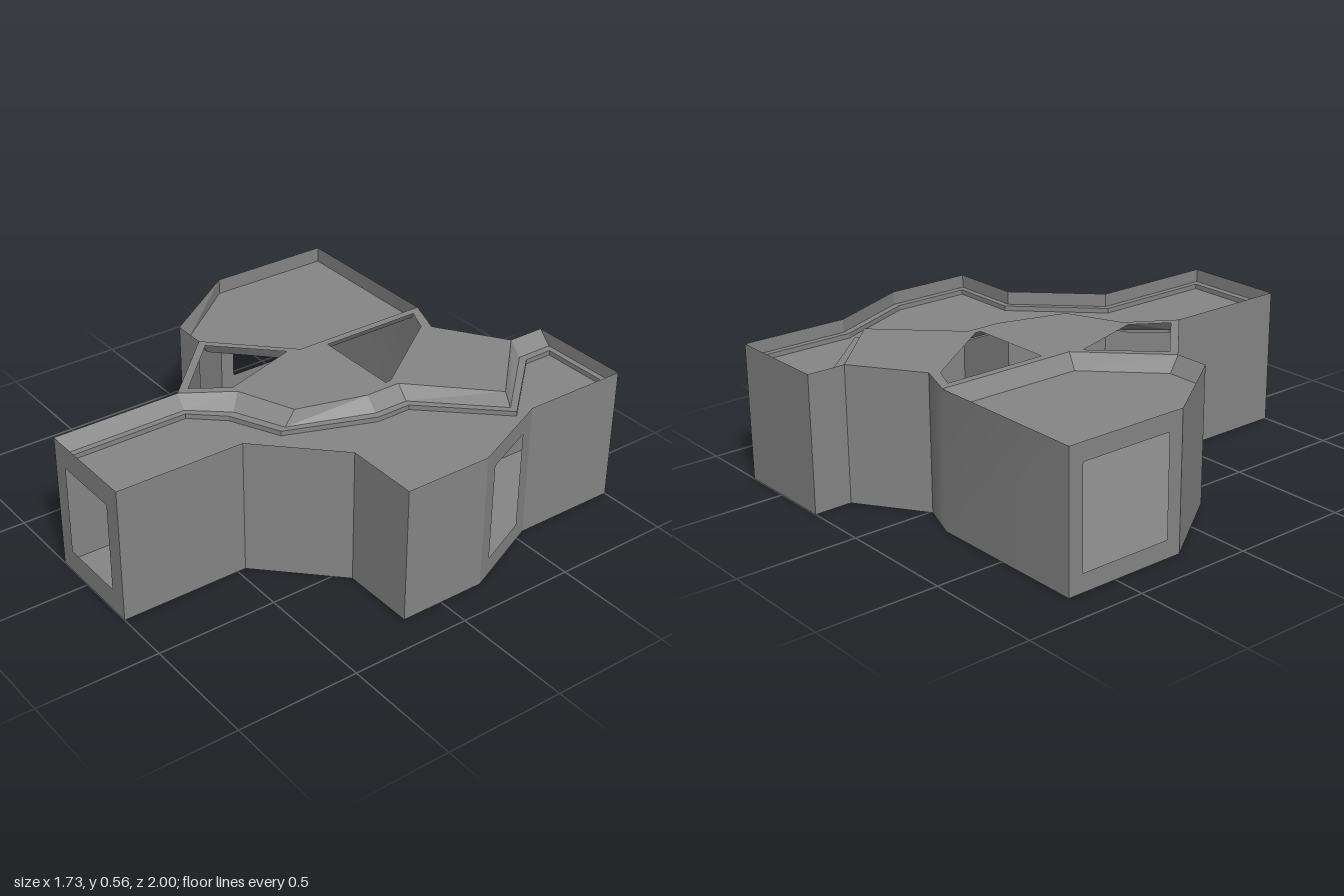
import * as THREE from 'three';

const TOP = 0.565, LEDGE = 0.51, DECK = 0.49, SIDE_ROOF = 0.5;

const material = new THREE.MeshStandardMaterial({ color: 0x868686, side: THREE.DoubleSide });

// All plan points are [x, z].
const ridge = [ // upper edge between the middle roof and the right deck
  [0.265, -1], [0.265, -0.84], [0.555, -0.55], [0.265, -0.26],
  [0.265, -0.11], [0.185, 0.175], [-0.05, 0.272], [-0.173, 0.465], [-0.173, 1],
];
const ridgeFoot = [
  [0.32, -1], [0.32, -0.84], [0.588, -0.55], [0.315, -0.26],
  [0.315, -0.11], [0.195, 0.225], [-0.008, 0.32], [-0.13, 0.465], [-0.13, 1],
];
const rightOuter = [
  [0.265, 1], [0.265, 0.465], [0.555, 0.175], [0.865, 0.175],
  [0.865, -0.19], [0.705, -0.55], [0.705, -1],
];
const deckInner = [
  [0.35, -0.975], [0.35, -0.85], [0.625, -0.55], [0.345, -0.25], [0.345, -0.1],
  [0.21, 0.255], [0.006, 0.352], [-0.105, 0.475], [-0.105, 0.97], [0.24, 0.97],
  [0.24, 0.455], [0.545, 0.15], [0.838, 0.15], [0.838, -0.18], [0.68, -0.54], [0.68, -0.975],
];
const leftRim = [ // upper edge between the middle roof and the left roof
  [-0.173, -0.715], [-0.173, -0.115], [-0.465, 0.175], [-0.61, 0.175], [-0.865, -0.19],
];
const leftFoot = [
  [-0.21, -0.715], [-0.21, -0.12], [-0.468, 0.133], [-0.61, 0.133], [-0.865, -0.19],
];
const backBend = [ // back wall with a softly shaded bend
  [-0.865, -0.715], [-0.173, -0.715], [-0.01, -0.655],
];
const sides = [ // remaining outer walls, from the back bend round to the left corner
  [-0.865, -0.715], [-0.865, -0.19], [-0.61, 0.175], [-0.465, 0.175], [-0.173, 0.465],
  [-0.173, 1], ...rightOuter, [0.265, -1], [0.265, -0.84], [-0.01, -0.655],
];

const vectors = (points) => points.map(([x, z]) => new THREE.Vector2(x, -z));

function addMesh(group, name, geometry) {
  const mesh = new THREE.Mesh(geometry, material);
  mesh.name = name;
  group.add(mesh);
}

// Horizontal sheet at a height, with optional openings.
function sheet(points, y, holes = []) {
  const shape = new THREE.Shape(vectors(points));
  holes.forEach((h) => shape.holes.push(new THREE.Path(vectors(h))));
  return new THREE.ShapeGeometry(shape).rotateX(-Math.PI / 2).translate(0, y, 0);
}

// Strip joining two lines that have the same number of points.
function band(upper, y1, lower, y2, { closed = false, smooth = false } = {}) {
  const position = [], index = [], n = upper.length;
  for (let i = 0; i < n; i++) {
    position.push(upper[i][0], y1, upper[i][1], lower[i][0], y2, lower[i][1]);
    if (i === n - 1 && !closed) break;
    const a = 2 * i, b = 2 * ((i + 1) % n);
    index.push(a, a + 1, b, b, a + 1, b + 1);
  }
  const geometry = new THREE.BufferGeometry();
  geometry.setAttribute('position', new THREE.Float32BufferAttribute(position, 3));
  geometry.setIndex(index);
  const result = smooth ? geometry : geometry.toNonIndexed();
  result.computeVertexNormals();
  return result;
}

// Upright wall between two plan points; window = [start, end, bottom, top].
function wall([x0, z0], [x1, z1], window) {
  const length = Math.hypot(x1 - x0, z1 - z0);
  const rect = (a, b, c, d) => [[a, c], [b, c], [b, d], [a, d]]
    .map(([u, v]) => new THREE.Vector2(u, v));
  const shape = new THREE.Shape(rect(0, length, 0, TOP));
  if (window) {
    const [a, b, c, d] = window;
    shape.holes.push(new THREE.Path(rect(a * length, b * length, c, d)));
  }
  return new THREE.ShapeGeometry(shape)
    .rotateY(-Math.atan2(z1 - z0, x1 - x0)).translate(x0, 0, z0);
}

export function createModel() {
  const model = new THREE.Group();
  model.name = 'building';

  // Floor and outer walls, three of them with window openings
  addMesh(model, 'floor', sheet([...sides, backBend[1]], 0));
  const windows = {
    0: [0.12, 0.88, 0.075, 0.49],   // left
    5: [0.165, 0.828, 0.095, 0.468], // front
    10: [0.18, 0.81, 0.075, 0.49],  // right, slanted wall
  };
  const walls = new THREE.Group();
  walls.name = 'outerWalls';
  sides.slice(1).forEach((p, i) => {
    addMesh(walls, 'wall' + (i + 1), wall(sides[i], p, windows[i]));
  });
  const bendFromRight = [...backBend].reverse();
  addMesh(walls, 'backWall', band(bendFromRight, TOP, bendFromRight, 0, { smooth: true }));
  model.add(walls);

  // Flat middle roof with two skylight openings
  const middle = [
    [-0.01, -0.655], ...ridge.slice(1, 8), ...leftRim.slice(0, 3).reverse(),
  ];
  const skylights = [
    [[-0.14, -0.665], [-0.035, -0.62], [0.23, -0.25], [0.23, -0.225], [-0.14, -0.225]],
    [[-0.42, 0.175], [-0.19, -0.06], [-0.085, 0.27], [-0.18, 0.412]],
  ];
  addMesh(model, 'middleRoof', sheet(middle, TOP, skylights));

  // Sunken left roof and its sloping edge
  addMesh(model, 'leftRoof', sheet([[-0.865, -0.715], ...leftFoot], SIDE_ROOF));
  addMesh(model, 'leftSlope', band(leftRim, TOP, leftFoot, SIDE_ROOF));

  // Sunken right deck: slope, ledge, small step and floor
  addMesh(model, 'rightSlope', band(ridgeFoot, LEDGE, ridge, TOP));
  addMesh(model, 'rightLedge', sheet([...ridgeFoot, ...rightOuter], LEDGE, [deckInner]));
  addMesh(model, 'rightStep', band(deckInner, LEDGE, deckInner, DECK, { closed: true }));
  addMesh(model, 'rightDeck', sheet(deckInner, DECK));

  return model;
}
